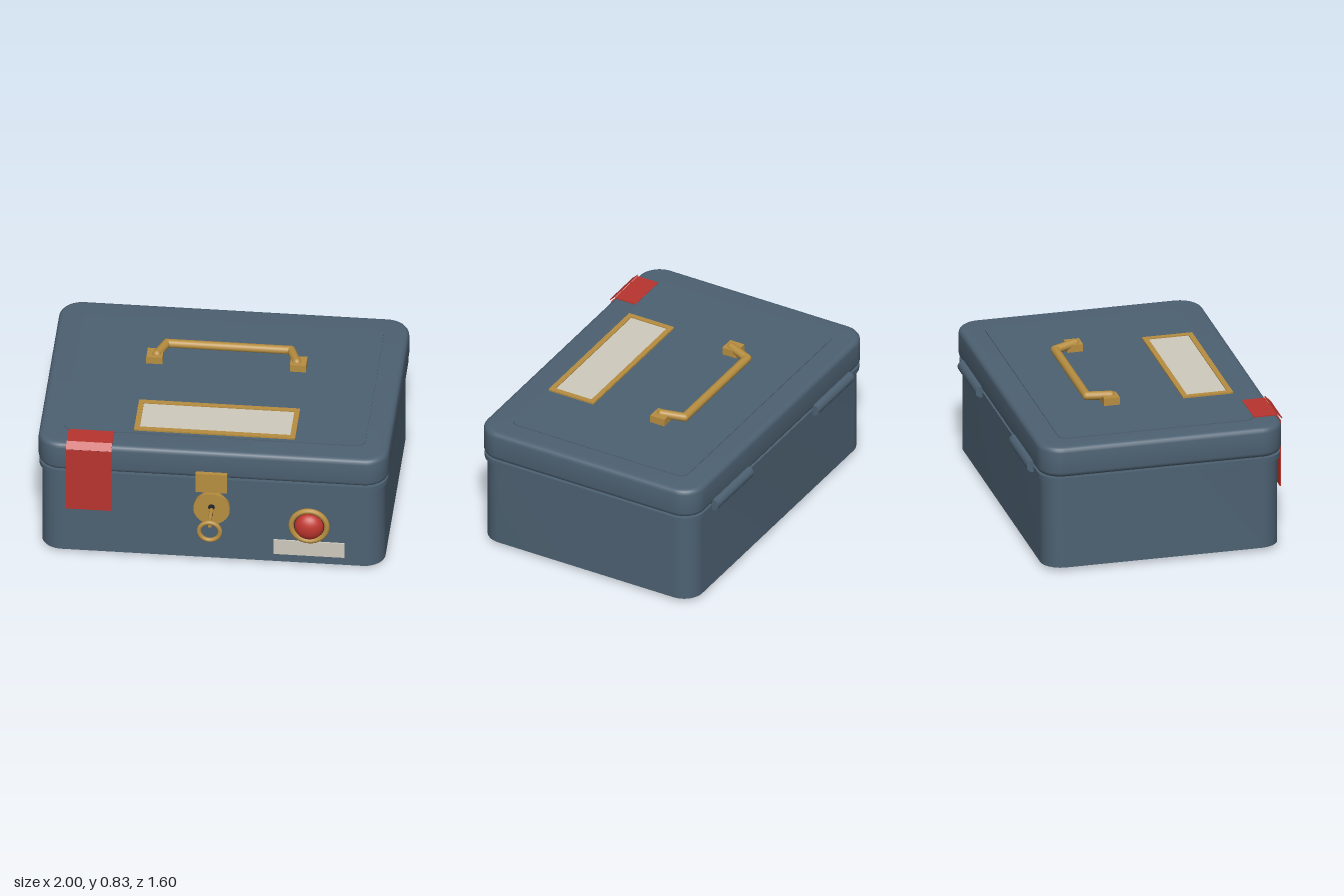
import * as THREE from 'three';
import { toCreasedNormals } from 'three/addons/utils/BufferGeometryUtils.js';

const mat = (name, color, side = THREE.FrontSide) => {
  const m = new THREE.MeshStandardMaterial({ color, side });
  m.name = name;
  return m;
};

// Rounded rectangle centred on the origin
function roundedRect(w, h, r, Type = THREE.Shape) {
  const s = new Type(), x = w / 2, y = h / 2, q = Math.PI / 2;
  s.absarc(x - r, y - r, r, 0, q);
  s.absarc(-x + r, y - r, r, q, 2 * q);
  s.absarc(-x + r, -y + r, r, 2 * q, 3 * q);
  s.absarc(x - r, -y + r, r, 3 * q, 4 * q);
  s.closePath();
  return s;
}

// Rounded slab standing from y = 0 to y = height, overall size w by d
function slab(w, d, r, height, bevel = 0) {
  const g = new THREE.ExtrudeGeometry(roundedRect(w - 2 * bevel, d - 2 * bevel, r - bevel), {
    depth: height - 2 * bevel, curveSegments: 8,
    bevelEnabled: bevel > 0, bevelSize: bevel, bevelThickness: bevel, bevelSegments: 4,
  });
  g.translate(0, 0, bevel).rotateX(-Math.PI / 2);
  return toCreasedNormals(g, 0.6);
}

export function createModel() {
  const blue = mat('blue paint', 0x4d6172);
  const gold = mat('brass', 0xb78e40);
  const red = mat('red', 0xbe362f);
  const tape = mat('red tape', 0xb8342e, THREE.DoubleSide);
  const paper = mat('paper', 0xd0cabd);
  const black = mat('black rubber', 0x24262a);

  const root = new THREE.Group();
  const add = (name, geo, material, x = 0, y = 0, z = 0, parent = root) => {
    const m = new THREE.Mesh(geo, material);
    m.name = name;
    m.position.set(x, y, z);
    parent.add(m);
    return m;
  };
  const group = (name) => {
    const g = new THREE.Group();
    g.name = name;
    root.add(g);
    return g;
  };
  const disc = (r, depth, n = 40) => new THREE.CylinderGeometry(r, r, depth, n).rotateX(Math.PI / 2);
  const up = new THREE.Vector3(0, 1, 0);
  const rod = (name, a, b, r, parent) => {
    const dir = b.clone().sub(a);
    const m = add(name, new THREE.CylinderGeometry(r, r, dir.length(), 16), gold, 0, 0, 0, parent);
    m.position.copy(a).add(b).multiplyScalar(0.5);
    m.quaternion.setFromUnitVectors(up, dir.normalize());
  };

  // Box, rim, lid and raised lid panel
  const cz = -0.05;
  add('body', slab(1.96, 1.39, 0.12, 0.53), blue, 0, 0.02, cz);
  add('rim', slab(1.99, 1.42, 0.13, 0.03), blue, 0, 0.545, cz);
  add('rimGap', slab(1.95, 1.38, 0.12, 0.02), blue, 0, 0.57, cz);
  add('lid', slab(2, 1.43, 0.135, 0.18, 0.03), blue, 0, 0.58, cz);
  add('lidPanel', slab(1.72, 1.145, 0.05, 0.012), blue, 0, 0.753, -0.055);

  // Feet and hinges
  for (const s of [-1, 1]) {
    for (const z of [0.47, -0.565]) {
      add('foot', new THREE.CylinderGeometry(0.064, 0.064, 0.022, 24), black, s * 0.78, 0.011, z);
    }
    add('hinge', new THREE.CylinderGeometry(0.035, 0.035, 0.405, 20).rotateZ(Math.PI / 2),
      blue, s * 0.572, 0.575, -0.765);
  }

  // Carrying handle folded back on the lid
  const handle = group('handle');
  const pts = [[0.4, 0.806, -0.21], [0.355, 0.796, -0.338], [-0.355, 0.796, -0.338], [-0.4, 0.806, -0.21]]
    .map((p) => new THREE.Vector3(...p));
  for (let i = 0; i < 3; i++) rod('handleBar', pts[i], pts[i + 1], 0.025, handle);
  for (const p of pts) add('handleJoint', new THREE.SphereGeometry(0.025, 16, 10), gold, p.x, p.y, p.z, handle);
  for (const s of [-1, 1]) {
    add('handleMount', new THREE.BoxGeometry(0.092, 0.046, 0.092), gold, s * 0.41, 0.787, -0.216, handle);
  }

  // Framed card on the lid
  const label = group('lidLabel');
  const frame = roundedRect(0.92, 0.295, 0.004);
  frame.holes.push(roundedRect(0.86, 0.235, 0.003, THREE.Path));
  add('labelFrame', new THREE.ExtrudeGeometry(frame, { depth: 0.012, bevelEnabled: false })
    .rotateX(-Math.PI / 2), gold, 0, 0.763, 0.348, label);
  add('labelCard', new THREE.BoxGeometry(0.87, 0.008, 0.245), paper, 0, 0.765, 0.348, label);

  // Tape seal: front strip, lifted fold and top strip
  const seal = group('seal');
  add('sealFront', new THREE.BoxGeometry(0.26, 0.405, 0.006), tape, -0.7, 0.528, 0.675, seal);
  const fold = add('sealFold', new THREE.BoxGeometry(0.26, 0.005, 0.05), tape, -0.7, 0.759, 0.668, seal);
  fold.rotation.x = Math.PI / 4;
  add('sealTop', new THREE.BoxGeometry(0.26, 0.006, 0.135), tape, -0.7, 0.764, 0.585, seal);

  // Latch, lock and key
  add('latch', new THREE.BoxGeometry(0.18, 0.126, 0.028), gold, 0, 0.563, 0.676);
  const lock = group('lock');
  add('lockPlate', disc(0.104, 0.03), gold, 0, 0.372, 0.655, lock);
  add('keyhole', disc(0.019, 0.004, 20), black, 0, 0.387, 0.671, lock);
  add('keyholeSlot', new THREE.BoxGeometry(0.016, 0.055, 0.004), black, 0, 0.355, 0.671, lock);
  const key = group('key');
  rod('keyShaft', new THREE.Vector3(0, 0.371, 0.66), new THREE.Vector3(0, 0.371, 0.782), 0.011, key);
  add('keyCollar', new THREE.BoxGeometry(0.02, 0.045, 0.014), gold, 0, 0.347, 0.778, key);
  add('keyRing', new THREE.TorusGeometry(0.06, 0.013, 12, 32), gold, 0, 0.301, 0.787, key);

  // Signal lamp
  const lamp = group('lamp');
  add('lampBezel', new THREE.TorusGeometry(0.102, 0.016, 12, 40), gold, 0.556, 0.286, 0.658, lamp);
  add('lampSeat', disc(0.1, 0.018), black, 0.556, 0.286, 0.652, lamp);
  const dome = new THREE.SphereGeometry(0.084, 32, 12, 0, Math.PI * 2, 0, Math.PI / 2).rotateX(Math.PI / 2);
  add('lampDome', dome.scale(1, 1, 0.68), red, 0.556, 0.286, 0.659, lamp);

  // Name plate below the lamp
  add('namePlate', new THREE.BoxGeometry(0.405, 0.097, 0.009), paper, 0.555, 0.123, 0.6495);

  return root;
}
